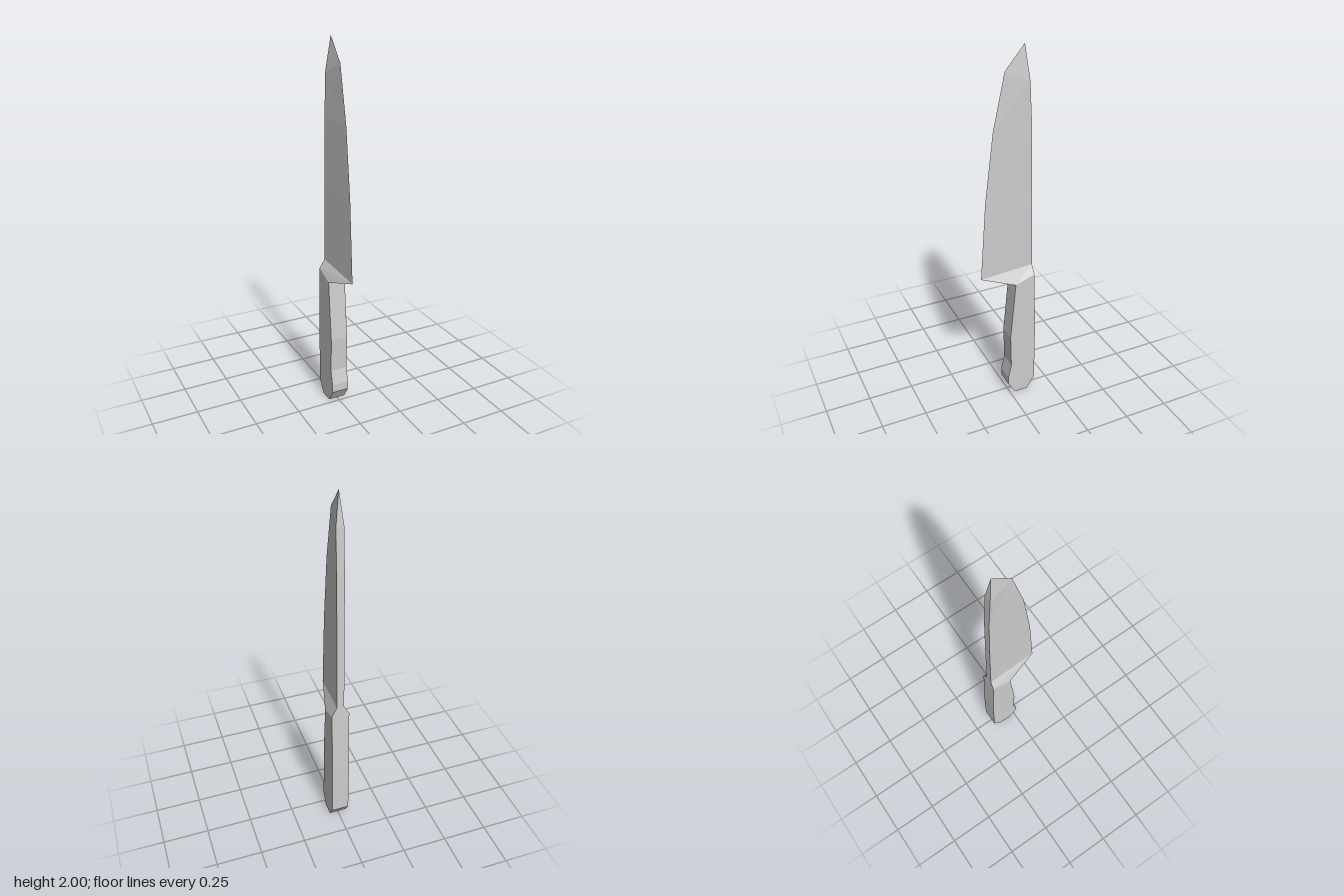
import * as THREE from 'three';

const steel = new THREE.MeshStandardMaterial({ color: 0xcccccc, flatShading: true });
steel.name = 'light grey';

const HANDLE = 0.048; // half thickness of the handle
const SPINE = 0.02; // half thickness of the blade's back

// Four-cornered section: a back pair and a front pair, each [z, y] with a half width.
function section([backZ, backY], backX, [frontZ, frontY], frontX) {
  return [
    [backX, backY, backZ], [frontX, frontY, frontZ],
    [-frontX, frontY, frontZ], [-backX, backY, backZ],
  ];
}

// Joins sections from bottom to top with flat faces, skipping collapsed ones.
function loft(name, sections) {
  const positions = [];
  const same = (p, q) => p.every((v, k) => v === q[k]);
  const triangle = (a, b, c) => {
    if (!same(a, b) && !same(b, c) && !same(c, a)) positions.push(...a, ...b, ...c);
  };
  for (let s = 0; s < sections.length - 1; s++) {
    const low = sections[s], high = sections[s + 1];
    for (let i = 0; i < 4; i++) {
      const j = (i + 1) % 4;
      triangle(low[i], high[i], low[j]);
      triangle(low[j], high[i], high[j]);
    }
  }
  const geometry = new THREE.BufferGeometry();
  geometry.setAttribute('position', new THREE.Float32BufferAttribute(positions, 3));
  geometry.computeVertexNormals();
  const mesh = new THREE.Mesh(geometry, steel);
  mesh.name = name;
  return mesh;
}

export function createModel() {
  const knife = new THREE.Group();
  knife.name = 'knife';

  // Handle: side outline as [z, y], extruded across x
  const outline = [
    [-0.105, 0], [-0.03, 0], [0.013, 0.07], [0.013, 0.115], [-0.005, 0.2],
    [0, 0.39], [-0.03, 0.73], [-0.14, 0.77], [-0.15, 0.4], [-0.15, 0.07],
  ];
  const shape = new THREE.Shape(outline.map(([z, y]) => new THREE.Vector2(z, y)));
  const handleGeometry = new THREE.ExtrudeGeometry(shape, { depth: 2 * HANDLE, bevelEnabled: false });
  handleGeometry.translate(0, 0, -HANDLE).rotateY(-Math.PI / 2);
  const handle = new THREE.Mesh(handleGeometry, steel);
  handle.name = 'handle';
  knife.add(handle);

  // Blade: wedge sections between the thick spine and the sharp edge
  const blade = [
    section([-0.137, 0.82], SPINE, [0.15, 0.785], 0),
    section([-0.131, 1.25], SPINE, [0.12, 1.22], 0),
    section([-0.124, 1.6], SPINE, [0.075, 1.59], 0),
    section([-0.111, 1.83], SPINE, [0.012, 1.88], 0),
    section([-0.09, 2], 0, [-0.09, 2], 0),
  ];
  knife.add(loft('blade', blade));

  // Bolster: narrows from the handle's top to the foot of the blade
  knife.add(loft('bolster', [section([-0.14, 0.77], HANDLE, [-0.03, 0.73], HANDLE), blade[0]]));

  return knife;
}
